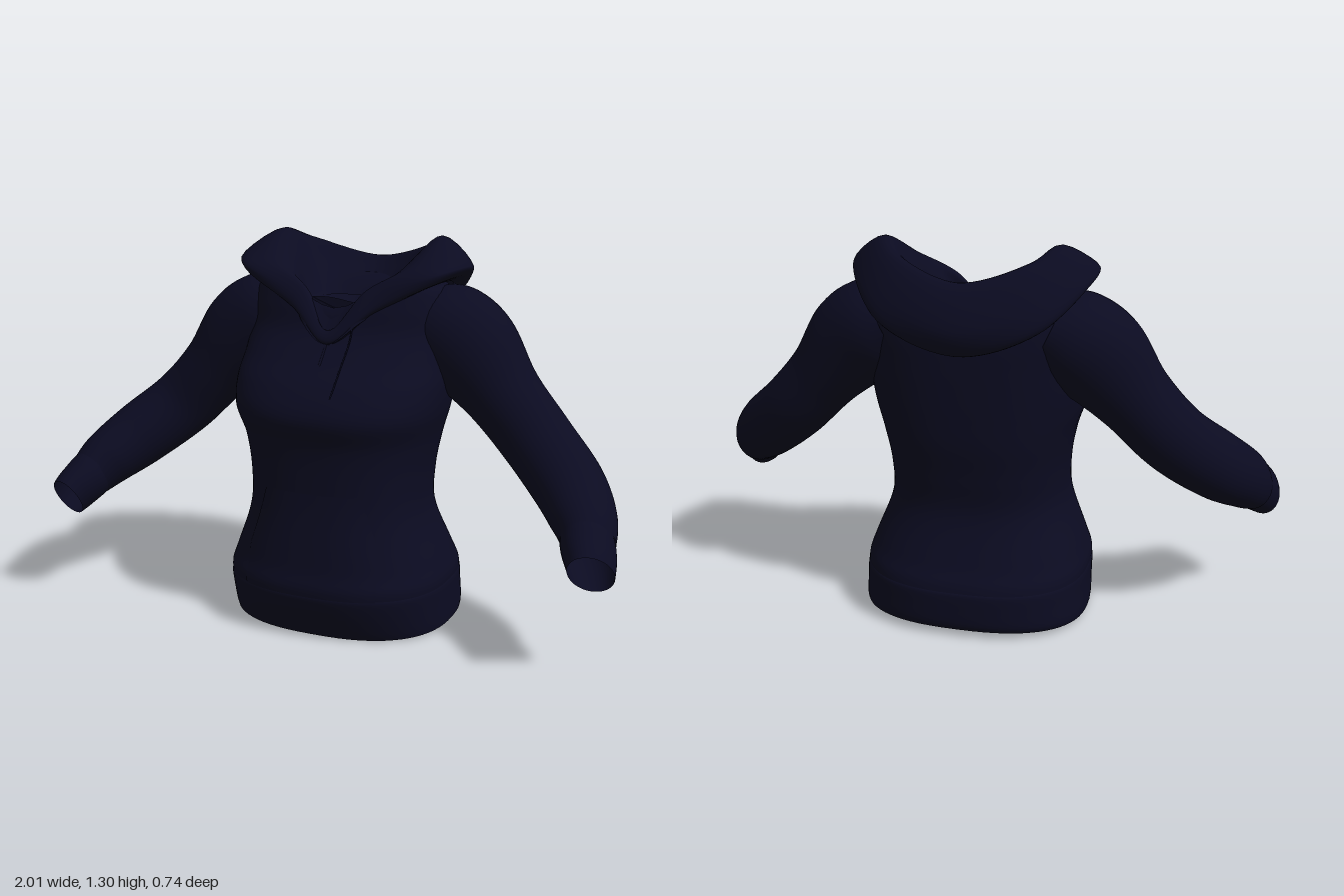
import * as THREE from 'three';

const fabric = new THREE.MeshStandardMaterial({ color: 0x0b0b21, side: THREE.DoubleSide });
fabric.name = 'navyFabric';

// Smooth interpolation through rows of numbers, t in 0..1
function spline(rows, t) {
  const n = rows.length - 1;
  const i = Math.min(n - 1, Math.floor(t * n));
  const f = t * n - i;
  const row = (k) => rows[Math.max(0, Math.min(n, k))];
  return rows[i].map((p1, c) => {
    const p0 = row(i - 1)[c], p2 = row(i + 1)[c], p3 = row(i + 2)[c];
    return p1 + 0.5 * f * (p2 - p0 + f * (2 * p0 - 5 * p1 + 4 * p2 - p3 + f * (3 * (p1 - p2) + p3 - p0)));
  });
}

// Skin over a grid of points; row direction x column direction faces outward
function loft(rows, closeCols = true, closeRows = false) {
  const m = rows[0].length, n = rows.length, index = [];
  for (let i = 0; i < (closeRows ? n : n - 1); i++) {
    for (let j = 0; j < (closeCols ? m : m - 1); j++) {
      const i2 = (i + 1) % n, j2 = (j + 1) % m;
      const a = i * m + j, b = i * m + j2, c = i2 * m + j2, d = i2 * m + j;
      index.push(a, d, b, b, d, c);
    }
  }
  const g = new THREE.BufferGeometry().setFromPoints(rows.flat());
  g.setIndex(index);
  g.computeVertexNormals();
  return g;
}

// Torso sections: height, half width, front z, back z, dip of the front centre
const TORSO = [
  [0.15, 0.384, 0.34, -0.355, 0], [0.19, 0.383, 0.341, -0.345, 0],
  [0.25, 0.362, 0.322, -0.314, 0], [0.4, 0.307, 0.3, -0.26, 0],
  [0.53, 0.304, 0.297, -0.272, 0], [0.65, 0.325, 0.303, -0.292, 0],
  [0.75, 0.355, 0.329, -0.298, 0], [0.84, 0.365, 0.285, -0.3, 0],
  [0.92, 0.36, 0.208, -0.3, 0], [1.0, 0.36, 0.14, -0.297, 0],
  [1.08, 0.355, 0.115, -0.285, 0.02], [1.15, 0.315, 0.1, -0.25, 0.07],
  [1.14, 0.21, 0.13, -0.18, 0.11], [1.09, 0.14, 0.165, -0.12, 0.12]
];
const SQUARE = 0.8;
const power = (v) => Math.sign(v) * Math.abs(v) ** SQUARE;

function bodyRing([y, hx, front, back, dip], tilt = 0) {
  const ring = [];
  for (let j = 0; j < 72; j++) {
    const a = (j / 72) * Math.PI * 2;
    const c = Math.cos(a), s = Math.sin(a);
    const x = hx * power(c);
    const z = (front + back) / 2 + ((front - back) / 2) * power(s);
    const drop = s > 0 ? dip * Math.exp(-((x / 0.11) ** 2)) : 0;
    ring.push(new THREE.Vector3(x, y - drop - tilt * s, z));
  }
  return ring;
}

function sampled(data, count, fn) {
  return Array.from({ length: count + 1 }, (_, i) => fn(spline(data, i / count), i / count));
}

// Depth of the torso front at a given x and height
function frontZ(x, y) {
  let lo = 0, hi = 10 / (TORSO.length - 1);
  for (let k = 0; k < 24; k++) {
    const mid = (lo + hi) / 2;
    if (spline(TORSO, mid)[0] < y) lo = mid; else hi = mid;
  }
  const [, hx, f, b] = spline(TORSO, lo);
  const s = Math.sqrt(Math.max(0, 1 - Math.abs(x / hx) ** (2 / SQUARE)));
  return (f + b) / 2 + ((f - b) / 2) * power(s);
}

// Sleeve sections: centre x, y, z, radius across, radius in depth
const SLEEVE = [
  [0.265, 1.035, -0.105, 0.125, 0.15], [0.335, 1.0, -0.1, 0.16, 0.162],
  [0.42, 0.93, -0.088, 0.165, 0.152], [0.535, 0.8, -0.073, 0.128, 0.13],
  [0.66, 0.668, -0.047, 0.12, 0.12], [0.79, 0.557, 0.04, 0.115, 0.125],
  [0.868, 0.483, 0.14, 0.1, 0.115], [0.903, 0.432, 0.212, 0.08, 0.097]
];
const CUFF = [
  [0.895, 0.447, 0.202, 0.078, 0.095], [0.905, 0.428, 0.227, 0.081, 0.097],
  [0.924, 0.397, 0.272, 0.075, 0.095], [0.937, 0.372, 0.309, 0.066, 0.091]
];

function sleeveGeometry(data, count) {
  const zAxis = new THREE.Vector3(0, 0, 1);
  const centre = (t) => new THREE.Vector3(...spline(data, t).slice(0, 3));
  return loft(sampled(data, count, (row, t) => {
    const T = centre(Math.min(1, t + 0.02)).sub(centre(Math.max(0, t - 0.02))).normalize();
    const across = new THREE.Vector3().crossVectors(T, zAxis).normalize();
    const deep = new THREE.Vector3().crossVectors(across, T);
    return Array.from({ length: 40 }, (_, j) => {
      const a = (j / 40) * Math.PI * 2;
      return centre(t).addScaledVector(across, row[3] * Math.cos(a)).addScaledVector(deep, row[4] * Math.sin(a));
    });
  }));
}

// Hood sections from front V round to the back: outer base to inner neck
const HOOD = [
  [[0, 0.965, 0.16], [0, 0.98, 0.168], [0, 1.0, 0.162], [0, 1.015, 0.15], [0, 1.0, 0.152], [0, 0.97, 0.162]],
  [[0.13, 1.06, 0.1], [0.145, 1.085, 0.118], [0.14, 1.12, 0.112], [0.115, 1.145, 0.092], [0.09, 1.12, 0.083], [0.07, 1.04, 0.11]],
  [[0.29, 1.15, 0.03], [0.34, 1.178, 0.055], [0.35, 1.205, 0.062], [0.26, 1.225, 0.042], [0.18, 1.185, 0.03], [0.12, 1.09, 0.05]],
  [[0.33, 1.155, -0.13], [0.385, 1.185, -0.12], [0.405, 1.215, -0.11], [0.29, 1.305, -0.13], [0.21, 1.23, -0.08], [0.14, 1.09, -0.02]],
  [[0.23, 1.04, -0.26], [0.265, 1.07, -0.308], [0.285, 1.15, -0.285], [0.22, 1.265, -0.23], [0.17, 1.2, -0.18], [0.1, 1.08, -0.09]],
  [[0, 0.965, -0.285], [0, 0.985, -0.345], [0, 1.065, -0.374], [0, 1.205, -0.3], [0, 1.17, -0.25], [0, 1.06, -0.12]]
];

function hoodGeometry() {
  const mirrored = HOOD.slice(1, -1).reverse().map((s) => s.map(([x, y, z]) => [-x, y, z]));
  const sections = [...HOOD, ...mirrored];
  const rails = HOOD[0].map((_, k) => new THREE.CatmullRomCurve3(
    sections.map((s) => new THREE.Vector3(...s[k])), true));
  const rows = Array.from({ length: 100 }, (_, i) =>
    new THREE.CatmullRomCurve3(rails.map((r) => r.getPoint(i / 100))).getPoints(25));
  return loft(rows, false, true);
}

// Front pocket: a patch lifted off the torso, with slanted hand openings
function pocketGeometry() {
  const rows = [];
  for (let i = 0; i <= 20; i++) {
    const v = i / 20, y = 0.16 + 0.34 * v;
    const half = v < 0.4 ? 0.235 : 0.235 - 0.11 * (v - 0.4);
    rows.push(Array.from({ length: 25 }, (_, j) => {
      const u = 1 - j / 12;
      const lift = 0.003 + 0.008 * (1 - u ** 4) * Math.sin(Math.PI * v);
      return new THREE.Vector3(u * half, y, frontZ(u * half, y) + lift);
    }));
  }
  return loft(rows, false);
}

function cord(points, radius) {
  const curve = new THREE.CatmullRomCurve3(points.map((p) => new THREE.Vector3(...p)));
  return new THREE.TubeGeometry(curve, 24, radius, 6);
}

export function createModel() {
  const group = new THREE.Group();
  const add = (name, geometry, mirror = false) => {
    const mesh = new THREE.Mesh(geometry, fabric);
    mesh.name = name;
    if (mirror) mesh.scale.x = -1;
    group.add(mesh);
  };

  add('torso', loft(sampled(TORSO, 90, (row) => bodyRing(row))));

  // Ribbed hem band, slightly lower at the front
  const hem = [
    [0.014, 0.388, 0.282, -0.34, 0], [0.04, 0.39, 0.298, -0.354, 0],
    [0.1, 0.388, 0.325, -0.357, 0], [0.15, 0.387, 0.342, -0.357, 0], [0.165, 0.383, 0.34, -0.351, 0]
  ];
  add('hemBand', loft(sampled(hem, 16, (row, t) => bodyRing(row, 0.011 * (1 - t)))));

  add('hood', hoodGeometry());
  add('frontPocket', pocketGeometry());

  const sleeve = sleeveGeometry(SLEEVE, 60);
  const cuff = sleeveGeometry(CUFF, 12);
  add('leftSleeve', sleeve);
  add('rightSleeve', sleeve, true);
  add('leftCuff', cuff);
  add('rightCuff', cuff, true);

  // Neck placket seam and hanging drawstring
  const seam = [0.98, 0.96, 0.94, 0.91].map((y) => [0, y, frontZ(0, y)]);
  add('placketSeam', cord(seam, 0.004));
  add('drawstring', cord([[0.08, 1.07, 0.13], [0.082, 1.0, 0.15], [0.08, 0.91, 0.23], [0.08, 0.83, 0.312]], 0.003));

  return group;
}
